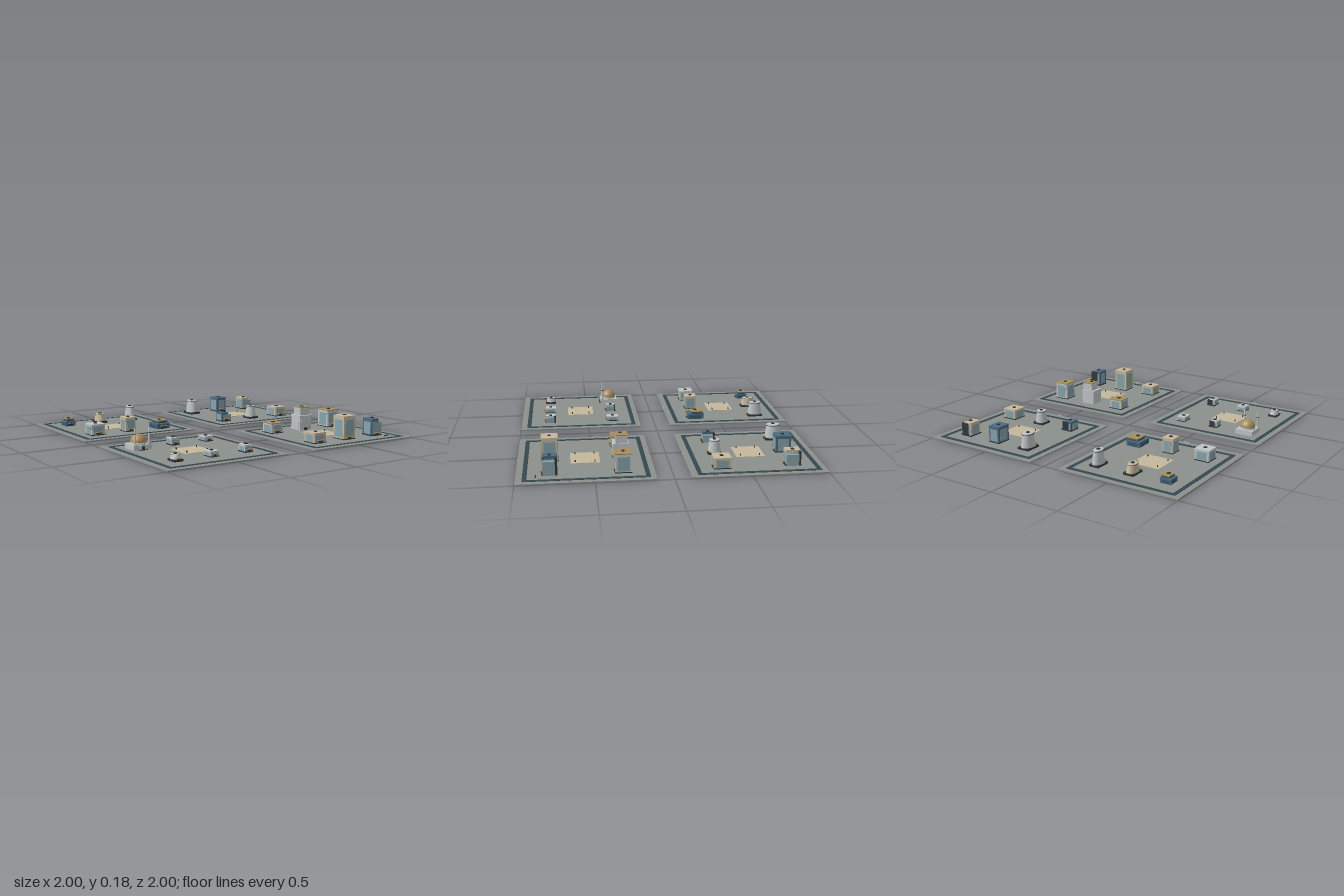
import * as THREE from 'three';

const mats = {};
const mat = (c) => (mats[c] ??= new THREE.MeshStandardMaterial({ color: c }));
const STONE = 0x8b908d, ROAD = 0x35474f, SAND = 0xc4b79c, GOLD = 0xa98d5a, WHITE = 0xbfc4c4,
  BLUE = 0x4c6b80, GLASS = 0x86a3ac, DARK = 0x34383b;
const GROUND = 0.008;

function add(parent, name, geometry, color, x = 0, y = 0, z = 0) {
  const mesh = new THREE.Mesh(geometry, mat(color));
  mesh.name = name;
  mesh.position.set(x, y, z);
  parent.add(mesh);
  return mesh;
}

// Box standing on y
const block = (p, name, w, h, d, color, x = 0, y = 0, z = 0) =>
  add(p, name, new THREE.BoxGeometry(w, h, d), color, x, y + h / 2, z);

// Framed glass panels on all four walls
function panels(p, w, h, d, x = 0, y = 0, z = 0, color = GLASS) {
  for (const s of [-1, 1]) {
    block(p, 'window', w * 0.72, h * 0.76, 0.002, color, x, y + h * 0.1, z + s * d / 2);
    block(p, 'window', 0.002, h * 0.76, d * 0.72, color, x + s * w / 2, y + h * 0.1, z);
  }
}

function walls(p, w, h, d, color, roof, x = 0, y = 0, z = 0, glass = GLASS) {
  block(p, 'walls', w * 0.96, h - 0.006, d * 0.96, color, x, y, z);
  panels(p, w * 0.96, h - 0.006, d * 0.96, x, y, z, glass);
  block(p, 'roof', w, 0.006, d, roof, x, y + h - 0.006, z);
}

const roofUnit = (p, y, x = 0) => block(p, 'roofUnit', 0.02, 0.006, 0.02, DARK, x, y);

function porch(p, w, d) {
  block(p, 'door', w * 0.3, 0.018, 0.006, DARK, 0, 0, d / 2);
  block(p, 'canopy', w * 0.5, 0.004, 0.022, GOLD, 0, 0.02, d / 2 + 0.002);
}

const types = {
  slab(p, w, h, d, color, roof) {
    block(p, 'podium', w, 0.006, d, DARK);
    walls(p, w, h, d, color, roof);
    roofUnit(p, h);
    porch(p, w, d);
  },
  // Wide base with a smaller offset upper block
  stepped(p, w, h, d, color, roof) {
    const low = h * 0.64;
    walls(p, w, low, d, color, color, 0, 0, 0, color === BLUE ? 0x3b5668 : WHITE);
    walls(p, w * 0.78, h - low, d * 0.76, color, roof, w * 0.07, low, -d * 0.06,
      color === BLUE ? 0x3b5668 : WHITE);
    roofUnit(p, h);
    porch(p, w, d);
  },
  // Core with a lower glass wing on one side
  twin(p, w, h, d, color, roof) {
    block(p, 'podium', w, 0.008, d, DARK);
    block(p, 'backCore', w * 0.62, h * 0.94, d * 0.15, DARK, w * 0.1, 0, -d * 0.42);
    walls(p, w * 0.7, h, d * 0.92, color, roof, -w * 0.14);
    block(p, 'glassWing', w * 0.42, h * 0.76, d * 0.8, GLASS, w * 0.3, 0, d * 0.05);
    roofUnit(p, h);
    porch(p, w, d);
  },
  // Tapered oval tower on a dark podium
  round(p, w, h, d, color) {
    block(p, 'podium', w, 0.014, d, DARK);
    const tower = (name, r1, r2, y0, y1, c) => {
      const g = new THREE.CylinderGeometry(r1, r2, y1 - y0, 24);
      g.scale(w, 1, d);
      add(p, name, g, c, 0, (y0 + y1) / 2, 0);
    };
    tower('tower', 0.38, 0.49, 0.014, h * 0.92, color);
    tower('towerCollar', 0.42, 0.42, h * 0.92, h * 0.95, DARK);
    tower('towerCap', 0.38, 0.4, h * 0.95, h, color);
    roofUnit(p, h);
    porch(p, w, d);
  },
  // Domed hall with two slender towers
  domed(p, w, h, d, color, roof) {
    block(p, 'hall', w, 0.034, d, color);
    add(p, 'drum', new THREE.CylinderGeometry(0.053, 0.055, 0.012, 24), color, 0, 0.04, 0);
    add(p, 'dome', new THREE.SphereGeometry(0.053, 24, 12, 0, Math.PI * 2, 0, Math.PI / 2), roof, 0, 0.045, 0);
    add(p, 'finial', new THREE.ConeGeometry(0.004, 0.012, 8), roof, 0, 0.103, 0);
    const arch = new THREE.Shape().moveTo(-0.024, 0).lineTo(0.024, 0).lineTo(0.024, 0.018);
    arch.absarc(0, 0.018, 0.024, 0, Math.PI).closePath();
    add(p, 'portal', new THREE.ExtrudeGeometry(arch, { depth: 0.012, bevelEnabled: false }), color, 0, 0, d / 2 - 0.006);
    block(p, 'doorway', 0.022, 0.024, 0.003, DARK, 0, 0, d / 2 + 0.007);
    block(p, 'step', 0.06, 0.004, 0.014, DARK, 0, 0, d / 2 + 0.006);
    for (const s of [-1, 1]) {
      block(p, 'minaretBase', 0.02, 0.04, 0.02, color, s * 0.052, 0, 0.052);
      add(p, 'minaret', new THREE.CylinderGeometry(0.005, 0.007, 0.095, 10), color, s * 0.052, 0.085, 0.052);
      add(p, 'balcony', new THREE.CylinderGeometry(0.009, 0.009, 0.004, 10), DARK, s * 0.052, 0.108, 0.052);
      add(p, 'spire', new THREE.ConeGeometry(0.007, 0.022, 10), color, s * 0.052, 0.142, 0.052);
    }
  },
};

// Each district: three buildings in the back row, then three in the front row
// [type, width, height, depth, wall colour, roof colour]
const districts = [
  { x: -0.555, z: -0.555, lots: [
    ['stepped', 0.08, 0.055, 0.085, BLUE, GOLD], ['round', 0.077, 0.07, 0.11, SAND], ['round', 0.073, 0.108, 0.11, WHITE],
    ['slab', 0.11, 0.08, 0.107, WHITE, WHITE], ['slab', 0.085, 0.105, 0.09, SAND, SAND], ['stepped', 0.11, 0.06, 0.128, BLUE, GOLD]] },
  { x: 0.555, z: -0.555, lots: [
    ['round', 0.09, 0.11, 0.12, WHITE], ['slab', 0.09, 0.118, 0.11, BLUE, BLUE], ['twin', 0.09, 0.1, 0.105, SAND, SAND],
    ['twin', 0.085, 0.07, 0.09, BLUE, BLUE], ['round', 0.085, 0.1, 0.09, WHITE], ['slab', 0.11, 0.075, 0.115, SAND, SAND]] },
  { x: -0.555, z: 0.555, lots: [
    ['domed', 0.13, 0.15, 0.13, WHITE, GOLD], ['twin', 0.065, 0.05, 0.075, WHITE, WHITE], ['slab', 0.065, 0.036, 0.088, WHITE, WHITE],
    ['round', 0.065, 0.045, 0.08, WHITE], ['slab', 0.068, 0.038, 0.08, WHITE, WHITE], ['twin', 0.065, 0.05, 0.078, WHITE, WHITE]] },
  { x: 0.555, z: 0.555, lots: [
    ['slab', 0.11, 0.075, 0.107, WHITE, GOLD], ['stepped', 0.11, 0.168, 0.107, WHITE, GOLD], ['slab', 0.11, 0.13, 0.112, WHITE, GOLD],
    ['slab', 0.107, 0.073, 0.107, SAND, SAND], ['slab', 0.11, 0.165, 0.112, SAND, SAND], ['twin', 0.095, 0.122, 0.1, BLUE, BLUE]] },
];

const roundedSquare = (path, r, c) => {
  path.moveTo(-r + c, -r).lineTo(r - c, -r).quadraticCurveTo(r, -r, r, -r + c)
    .lineTo(r, r - c).quadraticCurveTo(r, r, r - c, r)
    .lineTo(-r + c, r).quadraticCurveTo(-r, r, -r, r - c)
    .lineTo(-r, -r + c).quadraticCurveTo(-r, -r, -r + c, -r);
  return path;
};

function ringRoad() {
  const shape = roundedSquare(new THREE.Shape(), 0.405, 0.012);
  shape.holes.push(roundedSquare(new THREE.Path(), 0.376, 0.004));
  return new THREE.ExtrudeGeometry(shape, { depth: 0.0015, bevelEnabled: false }).rotateX(-Math.PI / 2);
}

export function createModel() {
  const city = new THREE.Group();
  city.name = 'cityDistricts';
  for (const { x, z, lots } of districts) {
    const district = new THREE.Group();
    district.name = 'district';
    district.position.set(x, 0, z);
    city.add(district);
    block(district, 'groundSlab', 0.89, GROUND, 0.89, STONE);

    // Road, plaza and lamp posts
    add(district, 'ringRoad', ringRoad(), ROAD, 0, GROUND, -0.004);
    block(district, 'plaza', 0.21, 0.002, 0.195, SAND, 0, GROUND, -0.004);
    for (const sx of [-1, 1]) for (const sz of [-1, 1])
      add(district, 'lampPost', new THREE.CylinderGeometry(0.004, 0.004, 0.014, 8), DARK,
        sx * 0.078, GROUND + 0.007, sz * 0.065 - 0.004);
    block(district, 'entrancePlate', 0.04, 0.006, 0.003, WHITE, 0, GROUND - 0.002, 0.4435);

    // Buildings
    lots.forEach(([type, ...size], i) => {
      const building = new THREE.Group();
      building.name = type + 'Building';
      building.position.set((i % 3 - 1) * 0.263, GROUND, (i < 3 ? -0.235 : 0.235) - 0.007);
      types[type](building, ...size);
      district.add(building);
    });
  }
  // Small bench at the front corner
  block(city, 'bench', 0.04, 0.006, 0.006, DARK, 0.875, GROUND, 0.872);
  return city;
}
